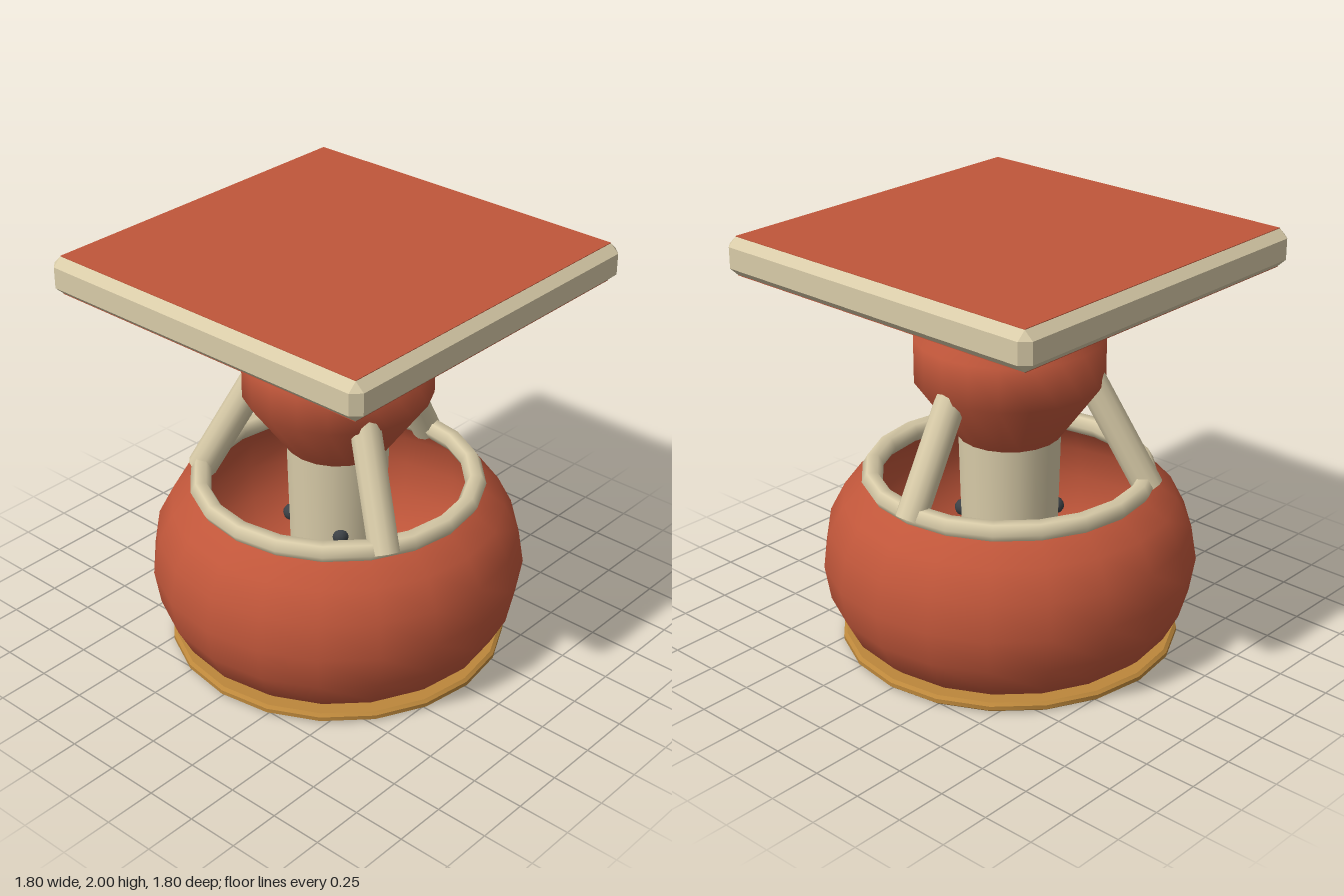
import * as THREE from 'three';
import { toCreasedNormals } from 'three/addons/utils/BufferGeometryUtils.js';
import { ConvexGeometry } from 'three/addons/geometries/ConvexGeometry.js';

const SIDES = 20;

function mat(name, color) {
  const m = new THREE.MeshStandardMaterial({ color });
  m.name = name;
  return m;
}

export function createModel() {
  const red = mat('terracotta red', 0xc0563a);
  const shell = mat('terracotta shell', 0xc0563a);
  shell.side = THREE.DoubleSide;
  const cream = mat('cream', 0xd8cba8);
  const gold = mat('ochre', 0xbc873b);
  const dark = mat('charcoal', 0x3c4146);

  const group = new THREE.Group();
  const add = (name, geometry, material, x = 0, y = 0, z = 0) => {
    const mesh = new THREE.Mesh(geometry, material);
    mesh.name = name;
    mesh.position.set(x, y, z);
    group.add(mesh);
    return mesh;
  };
  const lathe = (points) =>
    new THREE.LatheGeometry(points.map(([r, y]) => new THREE.Vector2(r, y)), SIDES);

  // Flat ring under the bowl
  add('baseRing', toCreasedNormals(lathe([
    [0.71, 0], [0.795, 0], [0.81, 0.012], [0.81, 0.032], [0.795, 0.045], [0.71, 0.045], [0.71, 0],
  ]), 0.5), gold);

  // Open round bowl
  add('bowl', lathe([
    [0.71, 0.03], [0.79, 0.1], [0.862, 0.24], [0.89, 0.41], [0.862, 0.58], [0.79, 0.72], [0.68, 0.8], [0.65, 0.82],
  ]), shell);

  // Rim around the bowl's mouth
  const rim = new THREE.TorusGeometry(0.65, 0.05, 6, SIDES);
  rim.rotateX(Math.PI / 2);
  add('rim', rim, cream, 0, 0.832, 0);

  // Grate slats, trimmed to a circle
  const grateRadius = 0.52;
  for (let i = -2; i <= 2; i++) {
    const from = Math.max(i * 0.25 - 0.085, -grateRadius);
    const to = Math.min(i * 0.25 + 0.085, grateRadius);
    const left = [], right = [];
    for (let k = 0; k <= 4; k++) {
      const v = from + ((to - from) * k) / 4;
      const half = Math.sqrt(Math.max(grateRadius ** 2 - v * v, 0.0001));
      right.push(new THREE.Vector2(half, v));
      left.unshift(new THREE.Vector2(-half, v));
    }
    const slat = new THREE.ExtrudeGeometry(new THREE.Shape([...right, ...left]), {
      depth: 0.03, bevelEnabled: false,
    });
    slat.rotateX(-Math.PI / 2);
    add('grateSlat', slat, red, 0, 0.06, 0);
  }

  // Central post with its dark foot and ports
  add('post', new THREE.CylinderGeometry(0.242, 0.225, 0.72, SIDES), cream, 0, 0.7, 0);
  add('postFoot', new THREE.CylinderGeometry(0.12, 0.12, 0.12, SIDES), dark, 0, 0.29, 0);
  for (let i = 0; i < 4; i++) {
    const a = Math.PI / 4 + (i * Math.PI) / 2;
    add('port', new THREE.SphereGeometry(0.04, 10, 8), dark, Math.sin(a) * 0.22, 0.64, Math.cos(a) * 0.22);
  }

  // Faceted round head carrying the top
  add('head', lathe([
    [0, 1.03], [0.245, 1.03], [0.245, 1.03], [0.445, 1.31], [0.445, 1.52], [0.2, 1.825],
  ]), red);

  // Three slanted struts from the rim to the head
  const up = new THREE.Vector3(0, 1, 0);
  for (const degrees of [60, 180, 300]) {
    const a = THREE.MathUtils.degToRad(degrees);
    const at = (r, y) => new THREE.Vector3(Math.sin(a) * r, y, Math.cos(a) * r);
    const foot = at(0.66, 0.81), top = at(0.37, 1.34);
    const axis = top.clone().sub(foot);
    const strut = add('strut', new THREE.CylinderGeometry(0.072, 0.072, axis.length(), 12), cream);
    strut.position.copy(foot).add(top).multiplyScalar(0.5);
    strut.quaternion.setFromUnitVectors(up, axis.normalize());
  }

  // Chamfered square top
  const outer = 0.9, inner = 0.858, tall = 0.089, low = 0.05;
  const corners = [];
  for (const sx of [-1, 1]) for (const sy of [-1, 1]) for (const sz of [-1, 1]) {
    for (const [x, y, z] of [[outer, low, inner], [inner, tall, inner], [inner, low, outer]]) {
      corners.push(new THREE.Vector3(sx * x, sy * y, sz * z));
    }
  }
  add('topSlab', new ConvexGeometry(corners), cream, 0, 1.908, 0);

  // Thin inlays on both faces of the top
  const inlay = () => new THREE.BoxGeometry(inner * 2, 0.006, inner * 2);
  add('topInlay', inlay(), red, 0, 1.997, 0);
  add('undersideInlay', inlay(), red, 0, 1.819, 0);

  return group;
}
